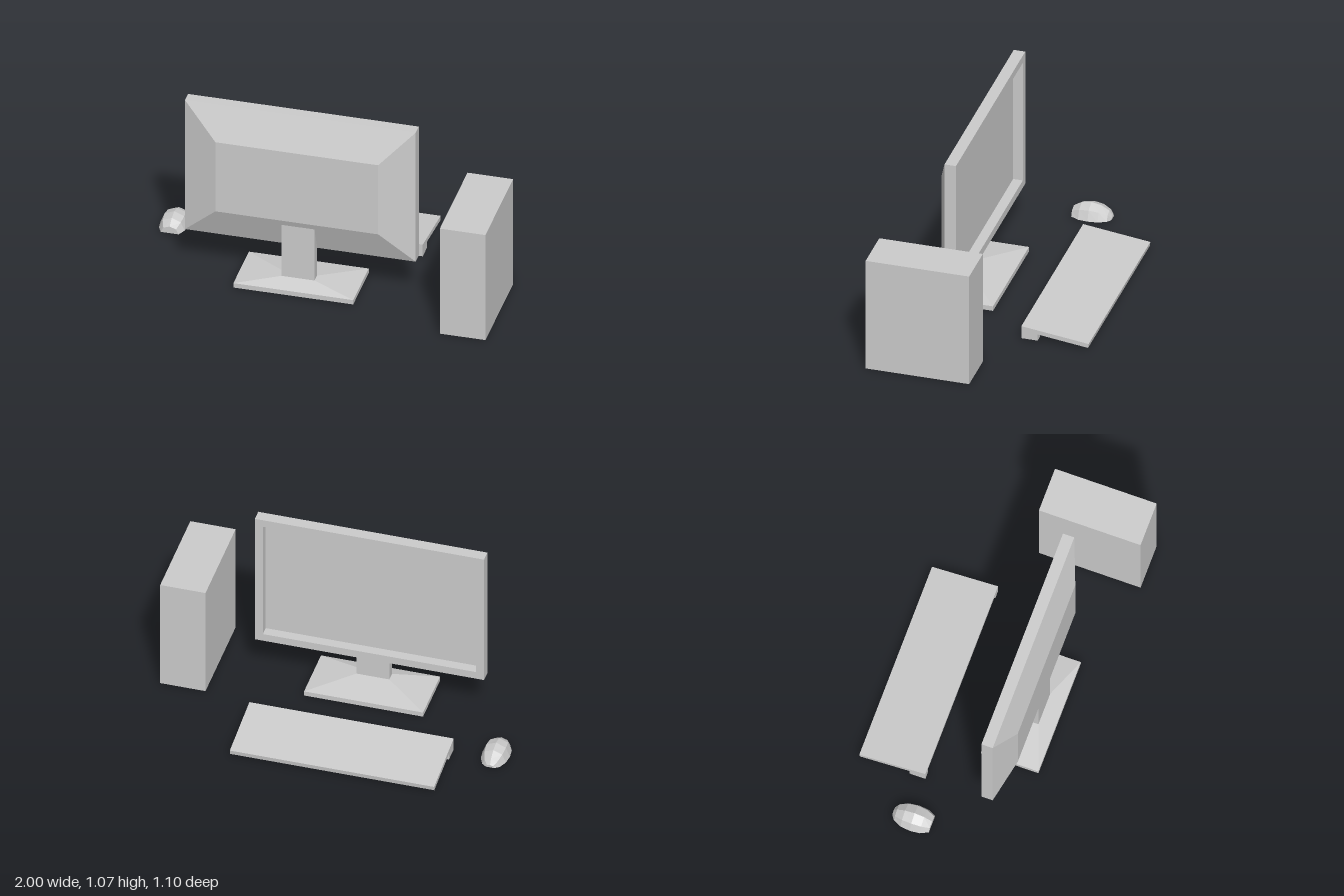
import * as THREE from 'three';

const material = new THREE.MeshStandardMaterial({ color: 0xcccccc, flatShading: true, side: THREE.DoubleSide });

// Joins rings of [x, y, z] points (counter-clockwise seen from the end) and caps both ends
function loft(name, rings) {
  const pos = [];
  const tri = (a, b, c) => pos.push(...a, ...b, ...c);
  const n = rings[0].length;
  for (let i = 0; i < rings.length - 1; i++) {
    for (let j = 0; j < n; j++) {
      const k = (j + 1) % n;
      tri(rings[i][j], rings[i][k], rings[i + 1][k]);
      tri(rings[i][j], rings[i + 1][k], rings[i + 1][j]);
    }
  }
  const first = rings[0], last = rings[rings.length - 1];
  for (let j = 1; j < n - 1; j++) {
    tri(first[0], first[j + 1], first[j]);
    tri(last[0], last[j], last[j + 1]);
  }
  const geo = new THREE.BufferGeometry();
  geo.setAttribute('position', new THREE.Float32BufferAttribute(pos, 3));
  geo.computeVertexNormals();
  const mesh = new THREE.Mesh(geo, material);
  mesh.name = name;
  return mesh;
}

function box(name, x0, x1, y0, y1, z0, z1) {
  const mesh = new THREE.Mesh(new THREE.BoxGeometry(x1 - x0, y1 - y0, z1 - z0), material);
  mesh.position.set((x0 + x1) / 2, (y0 + y1) / 2, (z0 + z1) / 2);
  mesh.name = name;
  return mesh;
}

// Rectangular rings, upright (facing z) and lying flat (facing y)
const upright = (x0, x1, y0, y1, z) => [[x0, y0, z], [x1, y0, z], [x1, y1, z], [x0, y1, z]];
const flat = (x0, x1, z0, z1, y) => [[x0, y, z0], [x0, y, z1], [x1, y, z1], [x1, y, z0]];

function createMonitor() {
  const g = new THREE.Group();
  g.name = 'monitor';
  // Recessed screen, bezel, frame and bevelled rear housing
  g.add(loft('display', [
    upright(-0.715, 0.485, 0.285, 1.02, 0.235),
    upright(-0.715, 0.485, 0.285, 1.02, 0.18),
    upright(-0.76, 0.53, 0.24, 1.065, 0.18),
    upright(-0.76, 0.53, 0.24, 1.065, 0.245),
    upright(-0.57, 0.34, 0.43, 0.872, 0.32),
  ]));
  g.add(box('standNeck', -0.205, -0.02, 0.055, 0.43, 0.255, 0.306));
  // Hollow foot with a sloping top
  g.add(loft('standBase', [
    flat(-0.205, -0.02, 0.255, 0.306, 0.056),
    flat(-0.43, 0.2, 0.085, 0.375, 0.028),
    flat(-0.43, 0.2, 0.085, 0.375, 0.008),
    flat(-0.45, 0.22, 0.065, 0.395, 0.008),
    flat(-0.45, 0.22, 0.065, 0.395, 0.036),
    flat(-0.205, -0.02, 0.255, 0.306, 0.068),
  ]));
  return g;
}

function createKeyboard() {
  const g = new THREE.Group();
  g.name = 'keyboard';
  const X0 = -0.69, X1 = 0.46, Z0 = -0.548, Z1 = -0.168;
  const top = (z) => 0.085 + (z - Z1) * 0.126;
  const prism = (name, x0, x1, profile) =>
    g.add(loft(name, [x0, x1].map((x) => profile.map(([z, y]) => [x, y, z]))));
  // Piece of the tilted slab between two depths under its top face
  const slab = (z0, z1, d0, d1) => [
    [z0 + d1 * 0.126, top(z0) - d1], [z0 + d0 * 0.126, top(z0) - d0],
    [z1, top(z1) - d0], [z1, top(z1) - d1],
  ];
  prism('keyPlate', X0, X1, slab(Z0, Z1, 0, 0.006));
  prism('nearRim', X0, X1, slab(Z0, Z0 + 0.012, 0.006, 0.025));
  prism('farRim', X0, X1, slab(Z1 - 0.015, Z1, 0.006, 0.025));
  for (const [x, side, w] of [[X0, 1, 'right'], [X1, -1, 'left']]) {
    const span = (d) => [Math.min(x, x + side * d), Math.max(x, x + side * d)];
    prism(w + 'Rim', ...span(0.015), slab(Z0, Z1, 0.006, 0.025));
    prism(w + 'Foot', ...span(0.043), [
      [-0.26, 0.01], [-0.26, top(-0.26) - 0.006], [Z1, top(Z1) - 0.006], [Z1, 0.01],
    ]);
  }
  return g;
}

// Faceted half dome: sections of [z, half width, height]
function createMouse() {
  const sections = [
    [-0.265, 0.024, 0.016], [-0.246, 0.05, 0.044], [-0.2, 0.071, 0.07],
    [-0.145, 0.0775, 0.08], [-0.09, 0.072, 0.07], [-0.045, 0.05, 0.042],
  ];
  return loft('mouse', sections.map(([z, w, h]) =>
    [0, 1, 2, 3, 4].map((i) => {
      const a = (i * Math.PI) / 4;
      return [-0.9225 + w * Math.cos(a), 0.01 + h * Math.sin(a), z];
    })));
}

export function createModel() {
  const model = new THREE.Group();
  model.name = 'desktopComputer';
  model.add(createMonitor(), createKeyboard(), createMouse());
  model.add(box('tower', 0.745, 1, 0, 0.672, -0.037, 0.548));
  return model;
}
